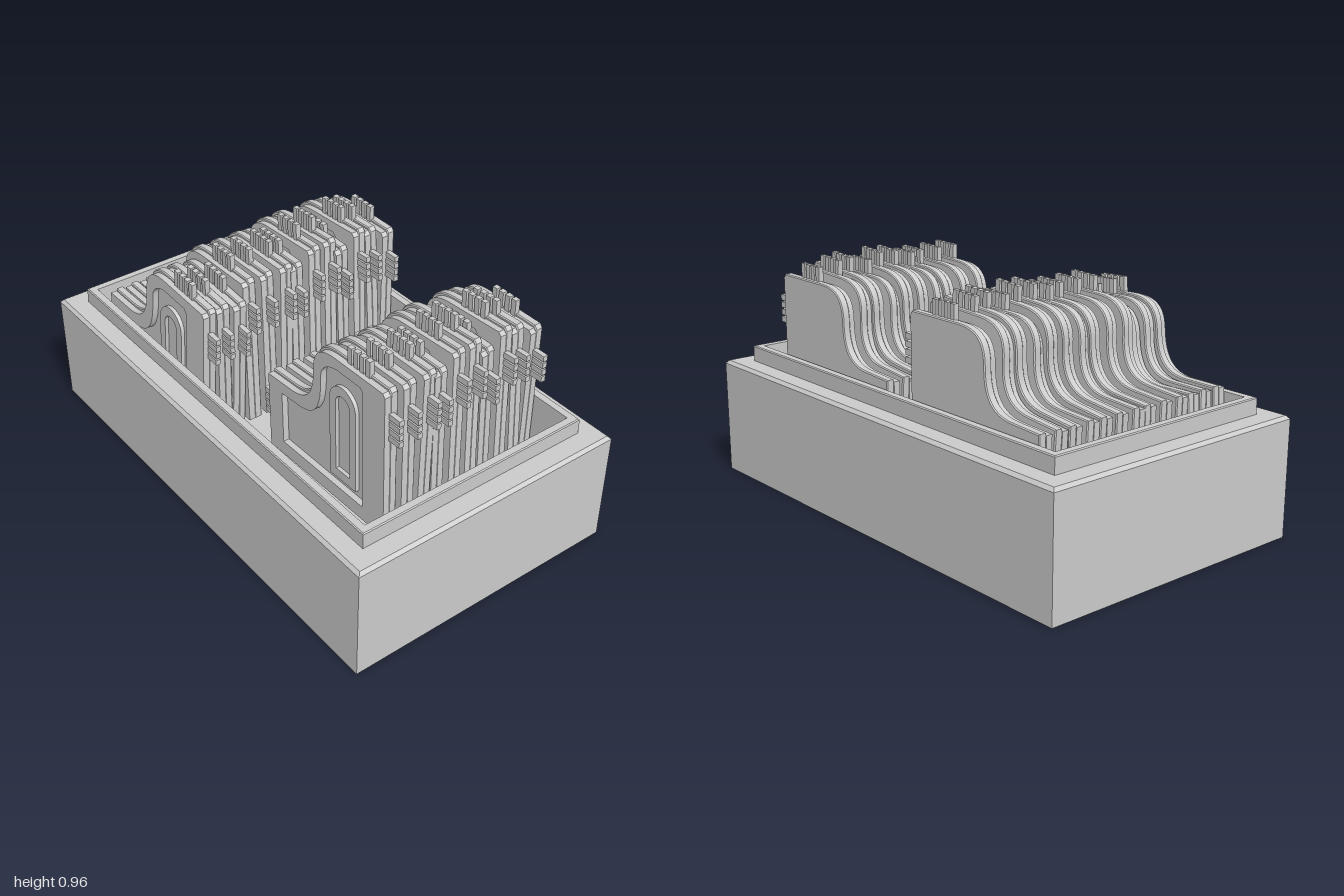
import * as THREE from 'three';
import { mergeGeometries, toCreasedNormals } from 'three/addons/utils/BufferGeometryUtils.js';

const FLOOR = 0.2;
const PIVOT_Y = 0.55, PIVOT_Z = 0.035;
const ROW_STEP = 0.83;
const THICK = 0.058;

// Rectangular shell lofted through rings of [halfX, halfZ, y]
function rectLoft(rings) {
  const corners = [[1, 1], [1, -1], [-1, -1], [-1, 1]];
  const pos = [];
  for (let i = 0; i < rings.length - 1; i++) {
    for (let k = 0; k < 4; k++) {
      const at = (ring, c) => [ring[0] * c[0], ring[2], ring[1] * c[1]];
      const c0 = corners[k], c1 = corners[(k + 1) % 4];
      const a = at(rings[i], c0), b = at(rings[i], c1);
      const c = at(rings[i + 1], c1), d = at(rings[i + 1], c0);
      pos.push(...a, ...b, ...c, ...a, ...c, ...d);
    }
  }
  const geo = new THREE.BufferGeometry();
  geo.setAttribute('position', new THREE.Float32BufferAttribute(pos, 3));
  geo.computeVertexNormals();
  return geo;
}

// Side outline (z, y): upright front, flat top, S-curve down to a low tail; d insets the curve
function outline(PathType, d, front, tail, bottom) {
  const p = new PathType();
  p.moveTo(tail, bottom);
  p.lineTo(front, bottom);
  p.lineTo(front, 0.853 - d);
  p.lineTo(front - 0.012, 0.868 - d);
  p.lineTo(0.45 + d * 0.3, 0.868 - d);
  p.bezierCurveTo(0.35 + d, 0.868 - d, 0.31 + d, 0.83 - d, 0.31 + d, 0.74);
  p.bezierCurveTo(0.31 + d, 0.64 - d, 0.27 + d, 0.585 - d, 0.17 + d, 0.58 - d);
  p.lineTo(tail, 0.573 - d);
  p.closePath();
  return p;
}

function arch(PathType, z0, z1, y0, top) {
  const r = (z1 - z0) / 2;
  const p = new PathType();
  p.moveTo(z0, y0);
  p.lineTo(z1, y0);
  p.lineTo(z1, top - r);
  p.absarc((z0 + z1) / 2, top - r, r, 0, Math.PI, false);
  p.closePath();
  return p;
}

// Extrudes a (z, y) outline across x, from x0 down to x1, moved to the pivot
function slab(shape, x0, x1, bevel = 0) {
  const geo = new THREE.ExtrudeGeometry(shape, {
    depth: x0 - x1 - 2 * bevel, curveSegments: 12, bevelEnabled: bevel > 0,
    bevelThickness: bevel, bevelSize: bevel, bevelOffset: -bevel, bevelSegments: 1,
  });
  geo.rotateY(-Math.PI / 2);
  geo.translate(x0 - bevel, -PIVOT_Y, -PIVOT_Z);
  return toCreasedNormals(geo, 0.5);
}

// Four small tabs in a line
function tabs(size, start, step) {
  const list = [];
  for (let i = 0; i < 4; i++) {
    list.push(new THREE.BoxGeometry(...size).translate(
      0, start[0] + step[0] * i - PIVOT_Y, start[1] + step[1] * i - PIVOT_Z));
  }
  return list;
}

export function createModel() {
  const model = new THREE.Group();
  model.name = 'traySet';
  const material = new THREE.MeshStandardMaterial({ color: 0xcccccc });
  const add = (parent, geo, name) => {
    const mesh = new THREE.Mesh(geo, material);
    mesh.name = name;
    parent.add(mesh);
  };

  // Open tray with chamfered shoulder and raised rim
  add(model, rectLoft([
    [0, 0, 0], [0.585, 1, 0], [0.585, 1, 0.462], [0.573, 0.988, 0.475],
    [0.5, 0.912, 0.475], [0.5, 0.912, 0.536], [0.496, 0.908, 0.54],
    [0.468, 0.88, 0.54], [0.468, 0.88, FLOOR], [0, 0, FLOOR],
  ]), 'tray');

  // Shared parts of one upright plate
  const half = THICK / 2;
  const plateGeo = slab(outline(THREE.Shape, 0, 0.72, 0.035, 0.23), half, -0.004, 0.004);
  const frameShape = outline(THREE.Shape, 0.01, 0.72, 0.035, 0.23);
  frameShape.holes.push(outline(THREE.Path, 0.055, 0.6, 0.12, 0.29));
  const frameGeo = slab(frameShape, -0.003, -half);
  const archShape = arch(THREE.Shape, 0.4, 0.55, 0.32, 0.74);
  archShape.holes.push(arch(THREE.Path, 0.435, 0.515, 0.36, 0.7));
  const archGeo = slab(archShape, -0.003, -half + 0.01);
  const tabGeo = mergeGeometries([
    ...tabs([0.02, 0.075, 0.023], [0.887, 0.505], [0, 0.033]),
    ...tabs([0.02, 0.023, 0.075], [0.67, 0.738], [0.03, 0]),
    ...tabs([0.02, 0.023, 0.075], [0.36, 0.018], [0.03, 0]),
  ]);

  // Plates: [x, top height, sideways lean]
  const plates = [
    [-0.424, 0.838, 0.008], [-0.354, 0.836, -0.005], [-0.287, 0.822, 0],
    [-0.228, 0.885, 0], [-0.146, 0.883, 0], [-0.064, 0.883, 0.008],
    [-0.008, 0.875, -0.004], [0.075, 0.905, 0.009], [0.151, 0.91, 0.009],
    [0.213, 0.87, -0.012], [0.295, 0.905, 0.006], [0.36, 0.895, -0.008],
    [0.432, 0.868, 0],
  ];
  for (let row = 0; row < 2; row++) {
    plates.forEach(([x, top, lean], i) => {
      if (row === 0 && i < 3) return; // the front row leaves three places empty
      const plate = new THREE.Group();
      plate.name = (row ? 'backPlate' : 'frontPlate') + (i + 1);
      add(plate, plateGeo, 'plateBody');
      add(plate, frameGeo, 'sideFrame');
      add(plate, archGeo, 'sideArch');
      add(plate, tabGeo, 'tabs');
      plate.position.set(x, PIVOT_Y, PIVOT_Z - row * ROW_STEP);
      plate.rotation.set(-(top - 0.868) / 0.65, 0, -lean / 0.33);
      model.add(plate);
    });
  }
  return model;
}
